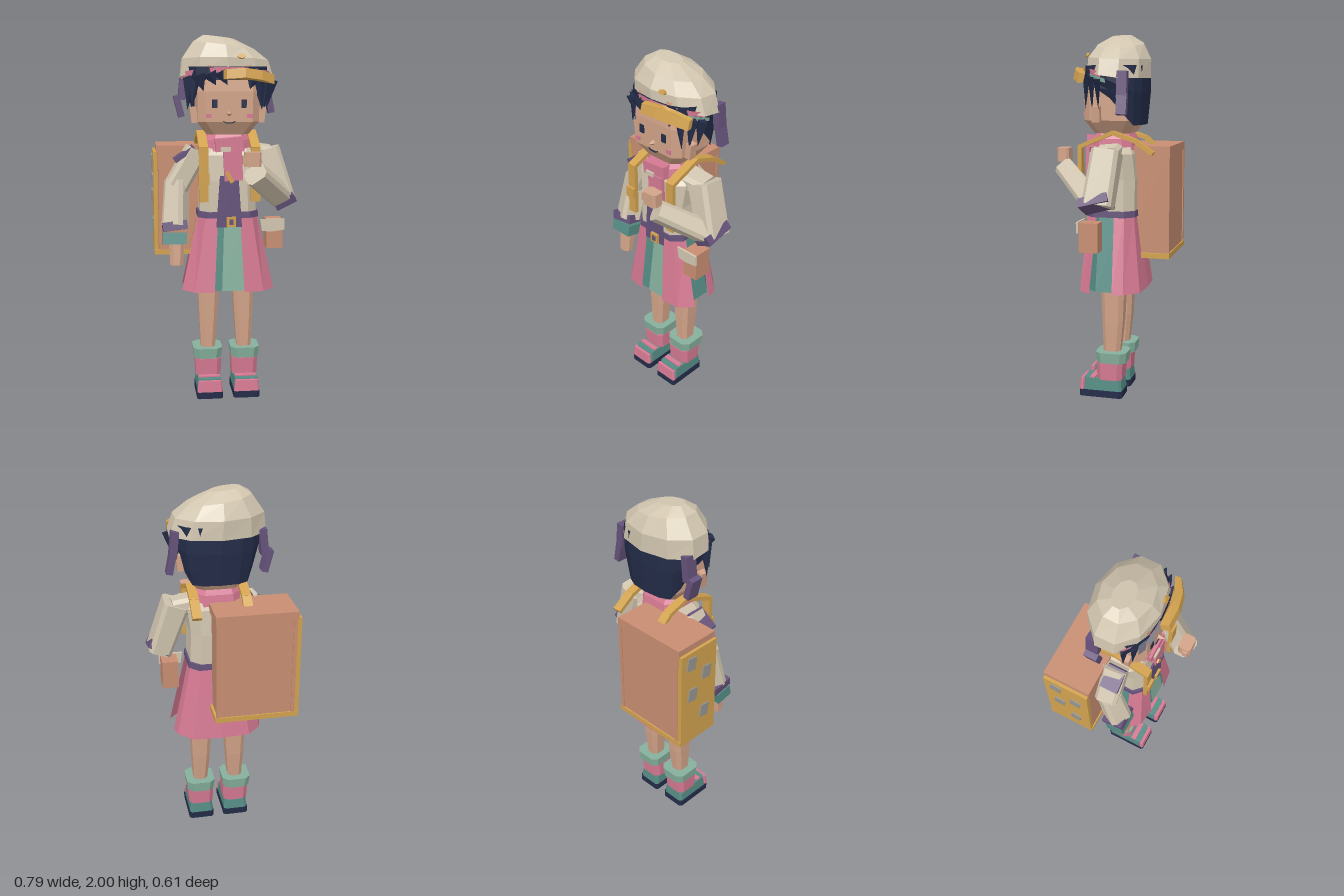
import * as THREE from 'three';

const V = (x, y, z) => new THREE.Vector3(x, y, z);
const CX = 0.02; // body centre line

// flat-shaded geometry from a list of triangle corners
function fromTriangles(tri) {
  const g = new THREE.BufferGeometry().setFromPoints(tri);
  g.computeVertexNormals();
  return g;
}
// skin a stack of closed rings, listed bottom to top
function loft(rings, capped = true) {
  const t = [], n = rings[0].length;
  for (let i = 0; i < rings.length - 1; i++) {
    const l = rings[i], u = rings[i + 1];
    for (let j = 0; j < n; j++) {
      const k = (j + 1) % n;
      t.push(l[j], u[j], l[k], u[j], u[k], l[k]);
    }
  }
  if (capped) {
    const mid = r => r.reduce((s, p) => s.add(p), V(0, 0, 0)).divideScalar(n);
    const a = rings[0], b = rings[rings.length - 1], ca = mid(a), cb = mid(b);
    for (let j = 0; j < n; j++) {
      const k = (j + 1) % n;
      t.push(ca, a[j], a[k], cb, b[k], b[j]);
    }
  }
  return fromTriangles(t);
}
// rectangle with cut corners
function oct(y, hw, hd, cut, cx = 0, cz = 0) {
  return [[hw, -hd + cut], [hw, hd - cut], [hw - cut, hd], [-hw + cut, hd],
    [-hw, hd - cut], [-hw, -hd + cut], [-hw + cut, -hd], [hw - cut, -hd]]
    .map(([x, z]) => V(cx + x, y, cz + z));
}
// open sheet between a lower and an upper row of points
function sheet(low, up) {
  const t = [];
  for (let j = 0; j < low.length - 1; j++) t.push(low[j], up[j], low[j + 1], up[j], up[j + 1], low[j + 1]);
  return fromTriangles(t);
}

export function createModel() {
  const root = new THREE.Group();
  root.name = 'traveller';
  const mat = (name, color, side = THREE.FrontSide) => {
    const m = new THREE.MeshStandardMaterial({ color, side });
    m.name = name;
    return m;
  };
  const cream = mat('cream', 0xd2c6b0), pink = mat('pink', 0xd67a93, THREE.DoubleSide),
    teal = mat('teal', 0x558c84), green = mat('pale green', 0x86b09d, THREE.DoubleSide),
    skin = mat('skin', 0xd3a489), tan = mat('tan', 0xc88e72), gold = mat('gold', 0xd2a24f),
    purple = mat('purple', 0x65527a), navy = mat('navy', 0x232c48, THREE.DoubleSide),
    grey = mat('grey', 0x98958f);

  function add(name, geo, material, parent = root) {
    const m = new THREE.Mesh(geo, material);
    m.name = name;
    parent.add(m);
    return m;
  }
  function box(name, material, x, y, z, w, h, d, rz = 0, rx = 0, ry = 0) {
    const m = add(name, new THREE.BoxGeometry(w, h, d), material);
    m.position.set(x, y, z);
    m.rotation.set(rx, ry, rz);
    return m;
  }
  // tapered limb from a to b with half sizes [width, depth]
  function limb(name, material, a, b, s0, s1, cut = 0.02) {
    const d = b.clone().sub(a), len = d.length();
    const m = add(name, loft([oct(0, s0[0], s0[1], cut), oct(len, s1[0], s1[1], cut)]), material);
    m.position.copy(a);
    m.quaternion.setFromUnitVectors(V(0, 1, 0), d.normalize());
    return m;
  }

  // legs, socks and shoes
  for (const s of [-1, 1]) {
    const x = CX - 0.005 + s * 0.1;
    const sx = CX - 0.005 + s * 0.103;
    add('leg', loft([oct(0.22, 0.038, 0.045, 0.02, x + s * 0.003, -0.005), oct(0.42, 0.05, 0.058, 0.022, x, -0.012),
      oct(0.64, 0.06, 0.066, 0.025, x - s * 0.002, -0.015)]), skin);
    add('sockCuff', loft([oct(0.2, 0.076, 0.082, 0.03, sx + s * 0.003, -0.01), oct(0.26, 0.082, 0.088, 0.03, sx + s * 0.003, -0.01)]), green);
    add('sock', loft([oct(0.1, 0.07, 0.07, 0.025, sx, 0), oct(0.2, 0.074, 0.075, 0.025, sx, 0)]), pink);
    add('sole', loft([oct(0, 0.073, 0.122, 0.012, sx, 0.047), oct(0.038, 0.073, 0.122, 0.012, sx, 0.047)]), navy);
    add('shoe', loft([oct(0.038, 0.069, 0.112, 0.012, sx, 0.04), oct(0.105, 0.064, 0.105, 0.015, sx, 0.04)]), teal);
    add('toeCap', loft([oct(0.038, 0.071, 0.014, 0.008, sx, 0.155), oct(0.1, 0.064, 0.012, 0.008, sx, 0.152)]), pink);
    box('shoeStrap', pink, sx, 0.108, 0.095, 0.12, 0.008, 0.03);
  }

  // skirt and open coat tails
  add('skirt', loft([oct(0.615, 0.215, 0.15, 0.09, CX, 0), oct(1.02, 0.135, 0.11, 0.05, CX, 0)]), teal);
  add('skirtFront', sheet([V(0.105, 0.615, 0.154), V(-0.02, 0.615, 0.154)], [V(0.1, 0.99, 0.117), V(-0.005, 0.99, 0.117)]), green);
  for (const s of [-1, 1]) {
    const row = (y, pts) => pts.map(([x, z]) => V(CX + s * x, y, z));
    add('coatFrontTail', sheet(row(0.61, [[0.255, 0.085], [0.19, 0.155], [0.082, 0.17]]),
      row(1.04, [[0.16, 0.065], [0.125, 0.125], [0.06, 0.135]])), pink);
    add('coatBackTail', sheet(row(0.61, [[0, -0.185], [0.16, -0.175], [0.235, -0.1], [0.25, -0.04]]),
      row(1.04, [[0, -0.13], [0.1, -0.125], [0.152, -0.085], [0.16, -0.03]])), pink);
  }

  // torso, shirt, belt and scarf
  add('jacket', loft([oct(1.02, 0.155, 0.13, 0.05, CX), oct(1.22, 0.15, 0.132, 0.05, CX),
    oct(1.36, 0.165, 0.12, 0.05, CX), oct(1.43, 0.1, 0.085, 0.035, CX)]), cream);
  add('shirt', loft([oct(0.97, 0.07, 0.005, 0.002, CX, 0.139), oct(1.25, 0.05, 0.005, 0.002, CX, 0.139)]), purple);
  add('belt', loft([oct(1.018, 0.166, 0.138, 0.05, CX), oct(1.052, 0.164, 0.137, 0.05, CX)]), purple);
  box('buckle', gold, 0.03, 1.0, 0.15, 0.05, 0.055, 0.016);
  box('buckleInset', purple, 0.03, 1.0, 0.159, 0.022, 0.03, 0.004);
  add('scarf', loft([oct(1.38, 0.125, 0.115, 0.045, CX), oct(1.44, 0.12, 0.105, 0.045, CX), oct(1.48, 0.1, 0.085, 0.035, CX)]), pink);
  box('scarfKnot', pink, 0.02, 1.42, 0.12, 0.15, 0.07, 0.05, 0.08);
  box('scarfEnd', pink, 0.04, 1.31, 0.142, 0.1, 0.17, 0.02, 0.05);
  box('scarfClip', cream, 0.0, 1.395, 0.15, 0.055, 0.025, 0.012);
  box('pendant', gold, 0.02, 1.245, 0.155, 0.022, 0.065, 0.012, 0.45);

  // lowered right arm
  limb('rightUpperArm', cream, V(-0.145, 1.38, -0.005), V(-0.26, 1.18, 0.0), [0.06, 0.065], [0.062, 0.062]);
  limb('rightForearm', cream, V(-0.255, 1.21, 0.0), V(-0.27, 0.97, 0.06), [0.058, 0.06], [0.064, 0.06]);
  box('rightShoulderPatch', purple, -0.215, 1.36, 0.01, 0.13, 0.025, 0.1, 0.6);
  box('rightCuff', purple, -0.272, 0.967, 0.06, 0.135, 0.05, 0.12, 0.12, -0.2);
  box('rightGlove', teal, -0.275, 0.9, 0.075, 0.13, 0.065, 0.1, 0, -0.2);
  limb('rightHand', skin, V(-0.265, 0.755, 0.095), V(-0.265, 0.88, 0.08), [0.036, 0.035], [0.042, 0.04]);

  // bent left arm
  limb('leftUpperArm', cream, V(0.335, 1.1, 0.015), V(0.24, 1.38, -0.01), [0.062, 0.08], [0.07, 0.075]);
  limb('leftShoulder', cream, V(0.26, 1.35, -0.01), V(0.14, 1.37, 0), [0.05, 0.065], [0.045, 0.07]);
  box('leftCuff', purple, 0.335, 1.115, 0.025, 0.12, 0.05, 0.165, 0.5, 0.25);
  limb('leftForearm', cream, V(0.31, 1.13, 0.06), V(0.145, 1.275, 0.25), [0.062, 0.058], [0.06, 0.052]);
  add('leftHand', loft([oct(1.315, 0.044, 0.034, 0.012, 0.13, 0.26), oct(1.39, 0.044, 0.034, 0.012, 0.13, 0.26)]), skin);
  box('leftThumb', skin, 0.085, 1.35, 0.272, 0.022, 0.045, 0.028);

  // hip pouch
  box('pouch', tan, 0.272, 0.925, 0.075, 0.09, 0.16, 0.105);
  const flap = new THREE.Shape([[0.19, 1.01], [0.2, 0.945], [0.25, 0.94], [0.325, 0.95], [0.325, 1.01]].map(p => new THREE.Vector2(...p)));
  add('pouchFlap', new THREE.ExtrudeGeometry(flap, { depth: 0.012, bevelEnabled: false }), cream).position.z = 0.128;

  // box backpack
  box('backpack', tan, -0.145, 1.085, -0.182, 0.42, 0.56, 0.25);
  box('backpackLid', tan, -0.145, 1.378, -0.182, 0.44, 0.045, 0.262);
  box('backpackBase', gold, -0.15, 0.798, -0.182, 0.46, 0.028, 0.265);
  box('backpackSide', gold, -0.37, 1.085, -0.182, 0.024, 0.56, 0.255);
  for (const [y, z] of [[1.3, -0.24], [1.2, -0.13], [1.1, -0.23], [0.95, -0.14]])
    box('sidePatch', grey, -0.385, y, z, 0.009, 0.075, 0.06, 0, 0.15);
  for (const x of [-0.13, 0.06]) box('backpackEdge', tan, x === 0.06 ? 0.064 : -0.348, 1.085, -0.306, 0.02, 0.56, 0.014);

  // shoulder straps
  for (const [x, back] of [[-0.12, -0.21], [0.16, -0.235]]) {
    const path = [[1.12, 0.16], [1.4, 0.16], [1.475, -0.02], [1.435, -0.14], [1.37, back]];
    for (let i = 0; i < 4; i++) {
      const [y0, z0] = path[i], [y1, z1] = path[i + 1];
      box('strap', gold, x, (y0 + y1) / 2, (z0 + z1) / 2, 0.05, Math.hypot(y1 - y0, z1 - z0) + 0.012, 0.022, 0, Math.atan2(z1 - z0, y1 - y0));
    }
    box('strapBuckle', gold, x, 1.24, 0.176, 0.056, 0.06, 0.02);
  }

  // head and face
  add('head', loft([oct(1.47, 0.115, 0.1, 0.04, CX), oct(1.54, 0.165, 0.142, 0.04, CX),
    oct(1.7, 0.168, 0.144, 0.04, CX), oct(1.84, 0.15, 0.13, 0.04, CX)]), skin);
  for (const s of [-1, 1]) {
    box('eye', navy, CX + s * 0.078, 1.637, 0.145, 0.028, 0.045, 0.008);
    box('cheek', pink, CX + s * 0.11, 1.572, 0.144, 0.03, 0.022, 0.008);
    box('ear', skin, CX + s * 0.185, 1.575, 0.06, 0.035, 0.085, 0.045, s * -0.12);
    box('mouthCorner', navy, CX + s * 0.024, 1.539, 0.143, 0.02, 0.005, 0.006, s * 0.5);
  }
  box('mouth', navy, CX, 1.534, 0.143, 0.035, 0.005, 0.006);
  const nose = add('nose', new THREE.ConeGeometry(0.018, 0.045, 4).toNonIndexed(), skin);
  nose.geometry.computeVertexNormals();
  nose.position.set(CX, 1.585, 0.16);
  nose.rotation.x = Math.PI / 2;

  // hair shell, long at the back and short over the face
  const hairRing = t => Array.from({ length: 16 }, (_, j) => {
    const a = j / 16 * Math.PI * 2, s = Math.sin(a);
    const bottom = s < 0 ? THREE.MathUtils.lerp(1.64, 1.515, Math.min(1, -s * 1.4)) : THREE.MathUtils.lerp(1.66, 1.76, Math.min(1, s * 1.5));
    const w = 1 - 0.16 * Math.max(0, t - 0.45) / 0.55 * (s < 0.1 ? 1 : 0);
    return V(CX + 0.225 * w * Math.sign(Math.cos(a)) * Math.abs(Math.cos(a)) ** 0.75, THREE.MathUtils.lerp(1.83, bottom, t),
      -0.015 + 0.165 * (s < 0 ? (1 + w) / 2 : 1) * Math.sign(s) * Math.abs(s) ** 0.75);
  });
  add('hair', loft([1, 0.75, 0.45, 0].map(hairRing), false), navy);
  // loose locks: x, top y, z, length, lean
  const locks = [[-0.19, 1.77, 0.06, 0.17, 0.1], [-0.165, 1.78, 0.1, 0.16, 0.15], [-0.13, 1.79, 0.135, 0.09, -0.3], [-0.07, 1.8, 0.15, 0.07, -0.5],
    [-0.01, 1.81, 0.15, 0.08, -0.5], [0.14, 1.79, 0.14, 0.09, 0.3], [0.19, 1.77, 0.12, 0.17, -0.1], [0.22, 1.77, 0.08, 0.18, 0.1], [0.245, 1.76, 0.04, 0.16, 0.15]];
  for (const [x, y, z, len, lean] of locks) {
    const g = new THREE.ConeGeometry(0.04, len, 4).toNonIndexed();
    g.computeVertexNormals();
    const m = add('hairLock', g, navy);
    m.position.set(x, y - len / 2, z);
    m.scale.z = 0.5;
    m.rotation.set(Math.PI, 0, lean);
  }

  // hair ribbons
  box('rightRibbon', purple, -0.215, 1.72, -0.09, 0.04, 0.14, 0.065, -0.1);
  box('rightRibbonEnd', purple, -0.237, 1.615, -0.085, 0.035, 0.12, 0.07, 0.25);
  box('leftRibbon', purple, 0.255, 1.73, -0.095, 0.04, 0.14, 0.055, 0.1);
  box('leftRibbonEnd', purple, 0.272, 1.63, -0.097, 0.035, 0.11, 0.055, 0.2);

  // soft hat
  const hatRing = (cx, y, rx, rz, tilt, lift) => Array.from({ length: 10 }, (_, j) => {
    const a = (j + 0.5) / 10 * Math.PI * 2, c = Math.cos(a), s = Math.sin(a);
    return V(cx + rx * c * 1.04, y - tilt * c + lift * Math.max(0, s), -0.022 + rz * s);
  });
  add('hat', loft([hatRing(0.02, 1.765, 0.255, 0.172, 0, 0.045), hatRing(0.01, 1.865, 0.235, 0.172, 0.005, 0.015),
    hatRing(0.005, 1.945, 0.165, 0.13, 0.022, 0), hatRing(-0.025, 1.99, 0.08, 0.055, 0.01, 0)]), cream);
  // striped band round the hat front
  const bandRow = (y, k, a0, a1) => Array.from({ length: 9 }, (_, j) => {
    const a = Math.PI * (a0 + (a1 - a0) * j / 8), s = Math.sin(a);
    return V(0.02 + 0.247 * k * Math.cos(a), y + 0.045 * s, -0.022 + 0.176 * k * s);
  });
  add('hatBandPink', sheet(bandRow(1.757, 1.015, 0.08, 0.95), bandRow(1.785, 1.025, 0.08, 0.95)), pink);
  add('hatBandGreen', sheet(bandRow(1.735, 1.0, 0.03, 0.35), bandRow(1.757, 1.015, 0.03, 0.35)), green);
  const button = add('hatButton', new THREE.CylinderGeometry(0.022, 0.022, 0.014, 8), gold);
  button.position.set(0.085, 1.885, 0.138);
  button.rotation.x = 1.2;
  button.scale.z = 0.6;

  // curved visor
  const visorRow = (y, inset) => [[-0.015, 0.17], [0.0, 0.212], [0.1, 0.212], [0.19, 0.19], [0.262, 0.145], [0.258, 0.115], [0.18, 0.145], [0.09, 0.165]]
    .map(([x, z]) => V(x, y - 1.1 * (x - 0.08) ** 2, z - inset)).reverse();
  add('visor', loft([visorRow(1.775, 0), visorRow(1.825, 0.012)]), gold);
  return root;
}
